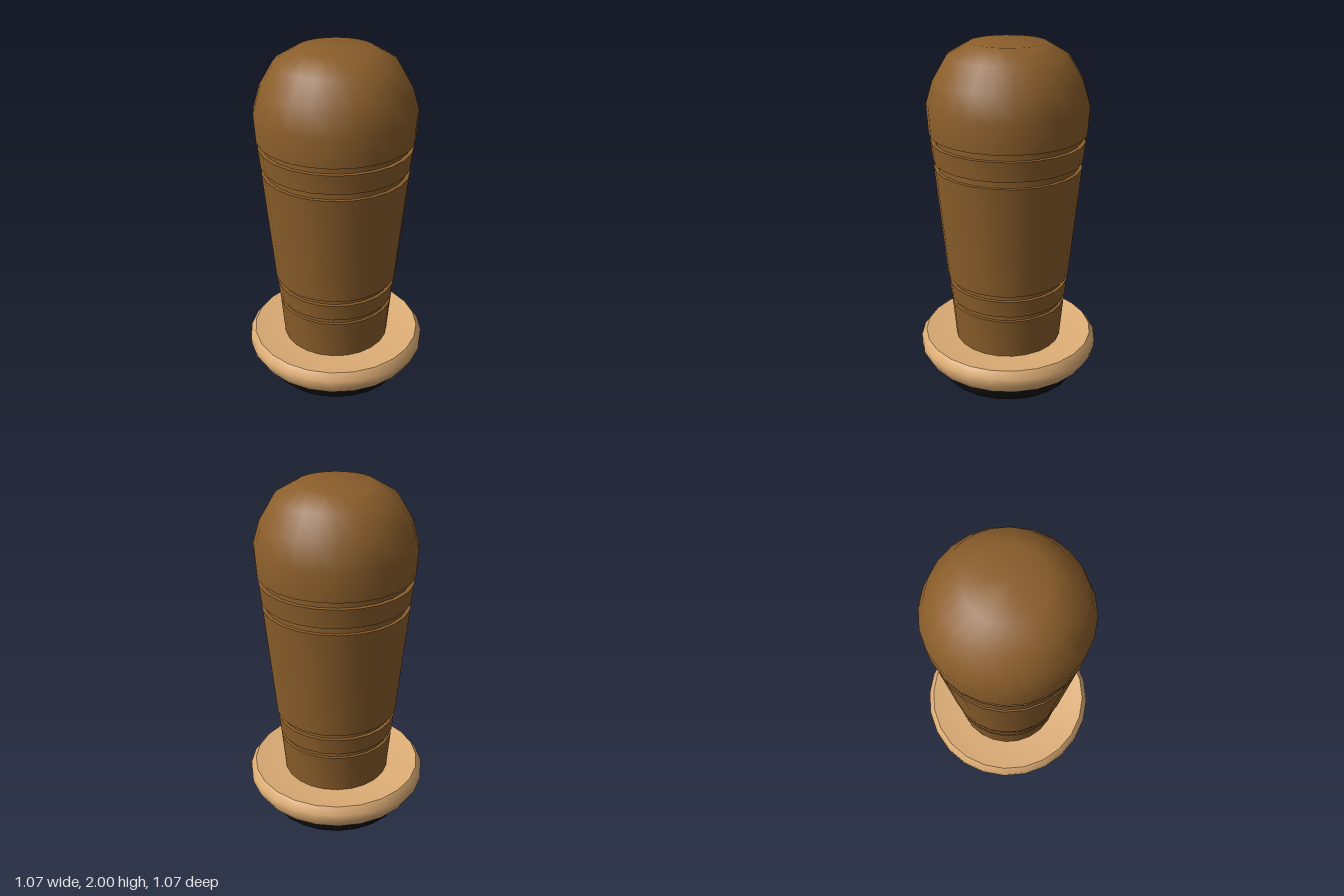
import * as THREE from 'three';
import { toCreasedNormals } from 'three/addons/utils/BufferGeometryUtils.js';

const SIDES = 24;

// Turns a bottom-to-top [radius, height] profile, keeping hard edges sharp
function turned(name, color, profile) {
  const points = profile.map(([r, y]) => new THREE.Vector2(r, y));
  const geometry = toCreasedNormals(
    new THREE.LatheGeometry(points, SIDES), THREE.MathUtils.degToRad(42));
  const mesh = new THREE.Mesh(geometry, new THREE.MeshStandardMaterial({ color }));
  mesh.name = name;
  return mesh;
}

export function createModel() {
  const group = new THREE.Group();
  group.name = 'turnedHandle';

  // Dark pad the handle stands on
  group.add(turned('basePad', 0x0b0b0b, [[0, 0], [0.413, 0], [0.413, 0.1], [0, 0.1]]));

  // Rounded collar with a shallow dish in its top
  group.add(turned('collar', 0xdeae76, [
    [0, 0.092], [0.44, 0.092], [0.503, 0.115], [0.534, 0.17], [0.534, 0.215],
    [0.503, 0.255], [0.39, 0.233], [0, 0.233],
  ]));

  // Tapered grip: each groove is [bottom, top, floor radius, radius below, radius above]
  const grooves = [
    [0.475, 0.508, 0.322, 0.339, 0.343],
    [0.61, 0.645, 0.333, 0.353, 0.36],
    [1.31, 1.35, 0.4, 0.421, 0.424],
    [1.462, 1.502, 0.412, 0.436, 0.443],
  ];
  const profile = [[0, 0.22], [0.317, 0.22]];
  for (const [y0, y1, floor, below, above] of grooves) {
    profile.push([below, y0], [floor, y0], [floor, y1], [above, y1]);
  }
  // Domed end with a small flat top
  profile.push([0.452, 1.667], [0.413, 1.795], [0.333, 1.93], [0.212, 2], [0, 2]);
  group.add(turned('grip', 0x8b5e2b, profile));

  return group;
}
